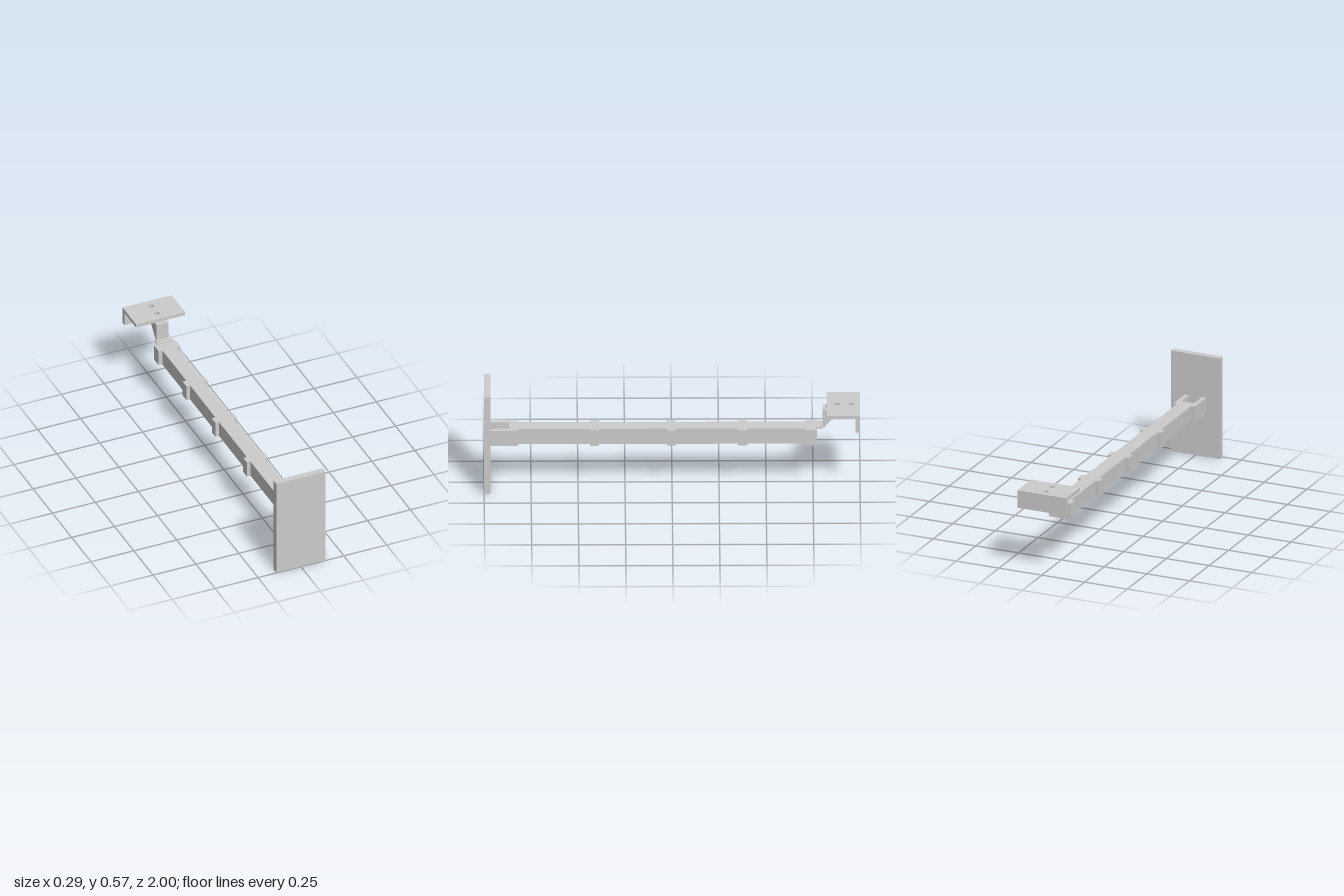
import * as THREE from 'three';

const material = new THREE.MeshStandardMaterial({ color: 0xcccccc, flatShading: true });

export function createModel() {
  const group = new THREE.Group();

  function add(name, geometry) {
    const mesh = new THREE.Mesh(geometry, material);
    mesh.name = name;
    group.add(mesh);
    return mesh;
  }

  // Box given by its lower and upper limits on each axis
  function box(name, x0, x1, y0, y1, z0, z1) {
    const g = new THREE.BoxGeometry(x1 - x0, y1 - y0, z1 - z0);
    g.translate((x0 + x1) / 2, (y0 + y1) / 2, (z0 + z1) / 2);
    return add(name, g);
  }

  // Horizontal slab with round vertical holes at the given z positions
  function drilledSlab(halfWidth, y0, y1, z0, z1, holes) {
    const s = new THREE.Shape();
    s.moveTo(-halfWidth, -z1);
    s.lineTo(halfWidth, -z1);
    s.lineTo(halfWidth, -z0);
    s.lineTo(-halfWidth, -z0);
    s.closePath();
    for (const z of holes) {
      s.holes.push(new THREE.Path().absarc(0, -z, 0.015, 0, Math.PI * 2, true));
    }
    const g = new THREE.ExtrudeGeometry(s, { depth: y1 - y0, bevelEnabled: false, curveSegments: 16 });
    g.rotateX(-Math.PI / 2);
    g.translate(0, y0, 0);
    return g;
  }

  const low = 0.246, high = 0.336;

  // Front plate
  box('frontPlate', -0.143, 0.143, 0, 0.573, 0.965, 1);

  // Long beam with raised bands on both sides
  box('beam', -0.041, 0.041, low, high, -0.77, 0.868);
  const bands = [[0.82, 0.868], [0.388, 0.436], [-0.02, 0.028], [-0.4, -0.35], [-0.77, -0.71]];
  for (const side of [-1, 1]) {
    const inner = side > 0 ? 0.041 : -0.062;
    for (const [z0, z1] of bands) box('band', inner, inner + 0.021, low, high, z0, z1);
    // Fork arms joining the beam to the front plate
    const arm = side > 0 ? 0.037 : -0.062;
    box('forkArm', arm, arm + 0.025, low, high, 0.868, 0.965);
  }

  // Stepped neck behind the beam
  box('neckLower', -0.045, 0.045, 0.334, 0.341, -0.8, -0.767);
  box('neckUpper', -0.035, 0.035, 0.338, 0.346, -0.814, -0.785);

  // Wedge support: upright front part and a drilled part with a sloping underside
  box('wedgeFront', -0.035, 0.035, 0.346, 0.441, -0.814, -0.8);
  const wedge = drilledSlab(0.035, 0, 0.441, -0.902, -0.814, [-0.876]);
  const p = wedge.attributes.position;
  for (let i = 0; i < p.count; i++) {
    if (p.getY(i) < 0.2) p.setY(i, 0.346 + (-0.814 - p.getZ(i)) / 0.088 * 0.0945);
  }
  wedge.computeVertexNormals();
  add('wedgeSlope', wedge);

  // Top bracket with two holes and a rear lip
  add('bracketTop', drilledSlab(0.143, 0.441, 0.46, -1, -0.823, [-0.876, -0.951]));
  box('bracketLip', -0.143, 0.143, 0.361, 0.441, -1, -0.975);

  return group;
}
